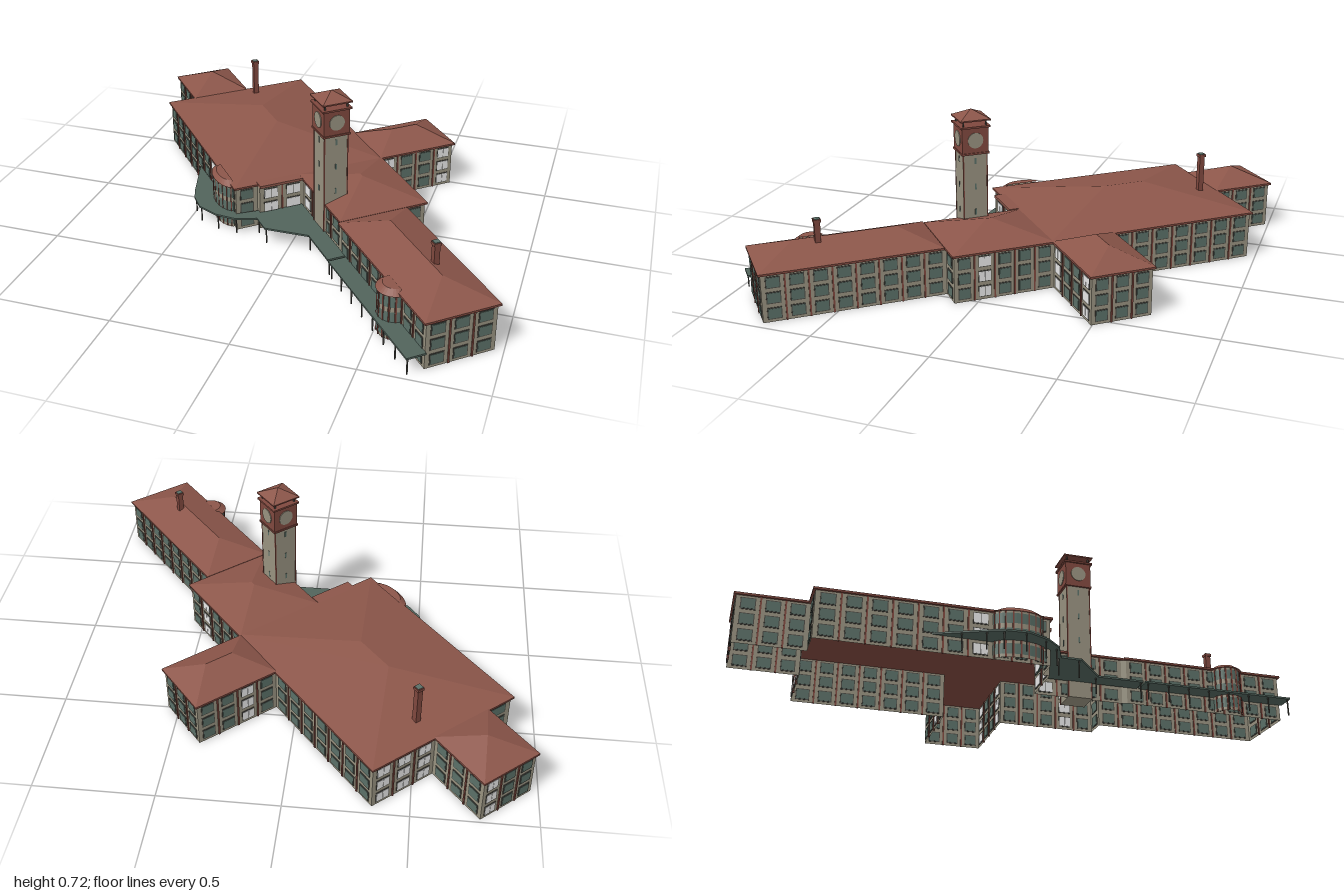
import * as THREE from 'three';
import { mergeGeometries } from 'three/addons/utils/BufferGeometryUtils.js';

const mat = (name, color, side = THREE.FrontSide) => {
  const m = new THREE.MeshStandardMaterial({ color, side, flatShading: true });
  m.name = name;
  return m;
};

export function createModel() {
  const M = {
    wall: mat('stone wall', 0x97917f, THREE.DoubleSide),
    roof: mat('roof tile', 0x8c564a),
    red: mat('red brick', 0x7f483e),
    glass: mat('green glass', 0x5a6f67),
    white: mat('white glass', 0xfafafa),
    frame: mat('dark frame', 0x4b4a44),
    canopy: mat('canopy green', 0x51635b),
  };
  const model = new THREE.Group();
  // The whole building lies diagonally: local x runs along the long axis
  const hall = new THREE.Group();
  hall.name = 'building';
  hall.rotation.y = -THREE.MathUtils.degToRad(49.5);
  model.add(hall);

  const add = (name, geo, m, parent = hall) => {
    const mesh = new THREE.Mesh(geo, m);
    mesh.name = name;
    parent.add(mesh);
    return mesh;
  };
  const box = (w, h, d, x, y, z) => new THREE.BoxGeometry(w, h, d).translate(x, y, z);
  const merged = (name, list, m, parent) => list.length && add(name, mergeGeometries(list), m, parent);
  const H = 0.205;
  const storeys = [0.037, 0.104, 0.17];

  // Straight wall with window bays; "white" lists the pale bays
  function wall(name, [x0, z0], [x1, z1], white = []) {
    const len = Math.hypot(x1 - x0, z1 - z0);
    const g = new THREE.Group();
    g.name = name;
    g.position.set((x0 + x1) / 2, 0, (z0 + z1) / 2);
    g.rotation.y = Math.atan2(z0 - z1, x1 - x0);
    hall.add(g);
    add('wallFace', new THREE.PlaneGeometry(len, H).translate(0, H / 2, 0), M.wall, g);
    const bays = len < 0.06 ? 0 : Math.round(len / 0.095);
    const w = len / bays, frames = [], panes = [], pale = [], piers = [];
    for (let i = 0; i < bays; i++) {
      const x = -len / 2 + (i + 0.5) * w;
      const isPale = white.includes(i);
      for (const y of storeys) {
        frames.push(box(w * 0.62, 0.05, 0.005, x, y, 0));
        if (isPale) {
          for (const s of [-1, 1]) pale.push(box(w * 0.28, 0.042, 0.008, x + s * w * 0.15, y, 0));
        } else panes.push(box(w * 0.54, 0.042, 0.008, x, y, 0));
      }
      if (i) piers.push(box(0.007, H, 0.009, x - w / 2, H / 2, 0));
    }
    merged('windowFrames', frames, M.frame, g);
    merged('windowPanes', panes, M.glass, g);
    merged('paleWindowPanes', pale, M.white, g);
    merged('brickPiers', piers, M.red, g);
  }

  // Outline of the outer walls, with pale bays of the wall that starts there
  const outline = [
    [-0.96, 0.34, [6]], [-0.25, 0.34], [-0.01, 0.34], [-0.01, 0.24], [0.02, 0.24, [0, 1]],
    [0.02, 0.03, [0]], [0.42, 0.03], [0.44, 0.04], [1.18, 0.04], [1.18, -0.26], [0.42, -0.26],
    [0.42, -0.36, [1]], [-0.02, -0.36, [0, 3]], [-0.02, -0.74], [-0.285, -0.74, [2]],
    [-0.285, -0.36], [-0.96, -0.36, [0, 1, 2]], [-0.96, -0.055], [-1.25, -0.055, [0]],
    [-1.25, 0.207], [-0.96, 0.207],
  ];
  outline.forEach((p, i) => wall('outerWall', p, outline[(i + 1) % outline.length], p[2]));

  // Hip roof: thin eave plate plus four slopes up to a ridge a-b
  function hipRoof(name, x0, x1, z0, z1, a, b, top) {
    const y = 0.212;
    add(name + 'Eave', box(x1 - x0, 0.009, z1 - z0, (x0 + x1) / 2, y - 0.0045, (z0 + z1) / 2), M.red);
    const A = [x0, y, z1], B = [x1, y, z1], C = [x1, y, z0], D = [x0, y, z0];
    const R = [a[0], top, a[1]], S = [b[0], top, b[1]];
    const alongX = Math.abs(b[0] - a[0]) >= Math.abs(b[1] - a[1]);
    const tris = alongX
      ? [A, B, S, A, S, R, B, C, S, C, D, R, C, R, S, D, A, R]
      : [A, B, S, B, C, R, B, R, S, C, D, R, D, A, S, D, S, R];
    const geo = new THREE.BufferGeometry();
    geo.setAttribute('position', new THREE.Float32BufferAttribute(tris.flat(), 3));
    geo.computeVertexNormals();
    add(name, geo, M.roof);
  }
  hipRoof('mainRoof', -0.97, 0, -0.37, 0.35, [-0.6, -0.013], [-0.41, -0.013], 0.289);
  hipRoof('endPavilionRoof', -1.26, -0.96, -0.065, 0.217, [-1.115, 0.07], [-1.115, 0.07], 0.275);
  hipRoof('backArmRoof', -0.295, -0.01, -0.75, -0.36, [-0.15, -0.615], [-0.15, -0.49], 0.274);
  hipRoof('towerBlockRoof', -0.02, 0.428, -0.37, 0.04, [0.19, -0.165], [0.21, -0.165], 0.275);
  hipRoof('wingRoof', 0.43, 1.19, -0.27, 0.051, [0.59, -0.109], [1.02, -0.109], 0.275);
  add('porchRoof', box(0.06, 0.012, 0.2, 0, 0.21, 0.14), M.roof);

  // Rounded bays with banded glazing and brick mullions
  function bay(name, x, z, r, depth, mullions) {
    const g = new THREE.Group();
    g.name = name;
    g.position.set(x, 0, z);
    g.scale.z = depth;
    hall.add(g);
    const half = (rad, h, y) =>
      new THREE.CylinderGeometry(rad, rad, h, 16, 1, true, -Math.PI / 2, Math.PI).translate(0, y, 0);
    add('bayWall', half(r, H, H / 2), M.wall, g);
    merged('bayGlass', storeys.map((y) => half(r + 0.002, 0.045, y)), M.glass, g);
    const bars = [];
    for (let i = 0; i <= mullions; i++) {
      const t = -Math.PI / 2 + (i / mullions) * Math.PI;
      bars.push(box(0.007, H, 0.007, Math.sin(t) * r, H / 2, Math.cos(t) * r));
    }
    merged('bayMullions', bars, M.red, g);
    add('bayRoof', new THREE.CylinderGeometry(r * 0.75, r + 0.01, 0.02, 16, 1, false, -Math.PI / 2, Math.PI)
      .translate(0, 0.212, 0), M.roof, g);
  }
  bay('cornerBay', -0.145, 0.335, 0.105, 0.5, 10);
  bay('wingBay', 0.92, 0.035, 0.065, 1, 8);

  // Walkway canopies on slim posts
  function canopy(name, pts, posts) {
    const shape = new THREE.Shape(pts.map((p) => new THREE.Vector2(...p)));
    const geo = new THREE.ExtrudeGeometry(shape, { depth: 0.008, bevelEnabled: false });
    add(name, geo.rotateX(Math.PI / 2).translate(0, 0.081, 0), M.canopy);
    merged(name + 'Posts', posts.map(([x, z]) => box(0.005, 0.075, 0.005, x, 0.0375, z)), M.frame);
  }
  const edge = [[-0.498, 0.345], [-0.38, 0.399], [-0.29, 0.44], [-0.226, 0.464], [-0.137, 0.469],
    [-0.042, 0.424], [0.023, 0.362], [0.061, 0.27], [0.15, 0.27], [0.28, 0.118], [0.485, 0.12]];
  canopy('entranceCanopy', [...edge, [0.485, 0.04], [0.02, 0.04], [-0.01, 0.34]],
    edge.slice(1).map(([x, z]) => [x - 0.008, z - 0.012]));
  canopy('wingCanopy', [[0.495, 0.04], [0.495, 0.122], [1.192, 0.122], [1.192, 0.04]],
    Array.from({ length: 8 }, (_, i) => [0.51 + i * 0.096, 0.112]));

  // Clock tower
  const tower = new THREE.Group();
  tower.name = 'clockTower';
  tower.position.set(0.222, 0, -0.008);
  hall.add(tower);
  add('shaft', box(0.107, 0.535, 0.107, 0, 0.2675, 0), M.wall, tower);
  add('clockStage', box(0.117, 0.115, 0.117, 0, 0.59, 0), M.red, tower);
  add('lowerCornice', box(0.124, 0.008, 0.124, 0, 0.533, 0), M.red, tower);
  add('upperCornice', box(0.132, 0.008, 0.132, 0, 0.65, 0), M.red, tower);
  const faces = [], slits = [], posts = [], corners = [];
  for (let i = 0; i < 4; i++) {
    const turn = (geo) => geo.rotateY((i * Math.PI) / 2);
    faces.push(turn(new THREE.CylinderGeometry(0.034, 0.034, 0.006, 24).rotateX(Math.PI / 2).translate(0, 0.592, 0.059)));
    for (const y of [0.27, 0.385, 0.5]) slits.push(turn(box(0.008, 0.026, 0.004, 0, y, 0.0535)));
    posts.push(turn(box(0.006, 0.03, 0.006, 0.05, 0.667, 0.05)));
    corners.push(turn(box(0.005, 0.535, 0.005, 0.0525, 0.2675, 0.0525)));
  }
  merged('clockFaces', faces, M.wall, tower);
  merged('slitWindows', slits, M.glass, tower);
  merged('belfryPosts', posts, M.frame, tower);
  merged('shaftCorners', corners, M.red, tower);
  add('towerEave', box(0.134, 0.006, 0.134, 0, 0.679, 0), M.red, tower);
  add('towerRoof', new THREE.ConeGeometry(0.134 / Math.SQRT2, 0.035, 4).rotateY(Math.PI / 4).translate(0, 0.6985, 0),
    M.roof, tower);

  // Chimneys with a flared cap
  for (const [x, z, top] of [[-0.864, -0.076, 0.41], [0.923, -0.132, 0.362]]) {
    add('chimney', box(0.024, top - 0.21, 0.024, x, (top + 0.21) / 2, z), M.red);
    add('chimneyCap', box(0.031, 0.012, 0.031, x, top - 0.008, z), M.red);
    add('chimneyTop', box(0.024, 0.003, 0.024, x, top - 0.0005, z), M.glass);
  }
  return model;
}
